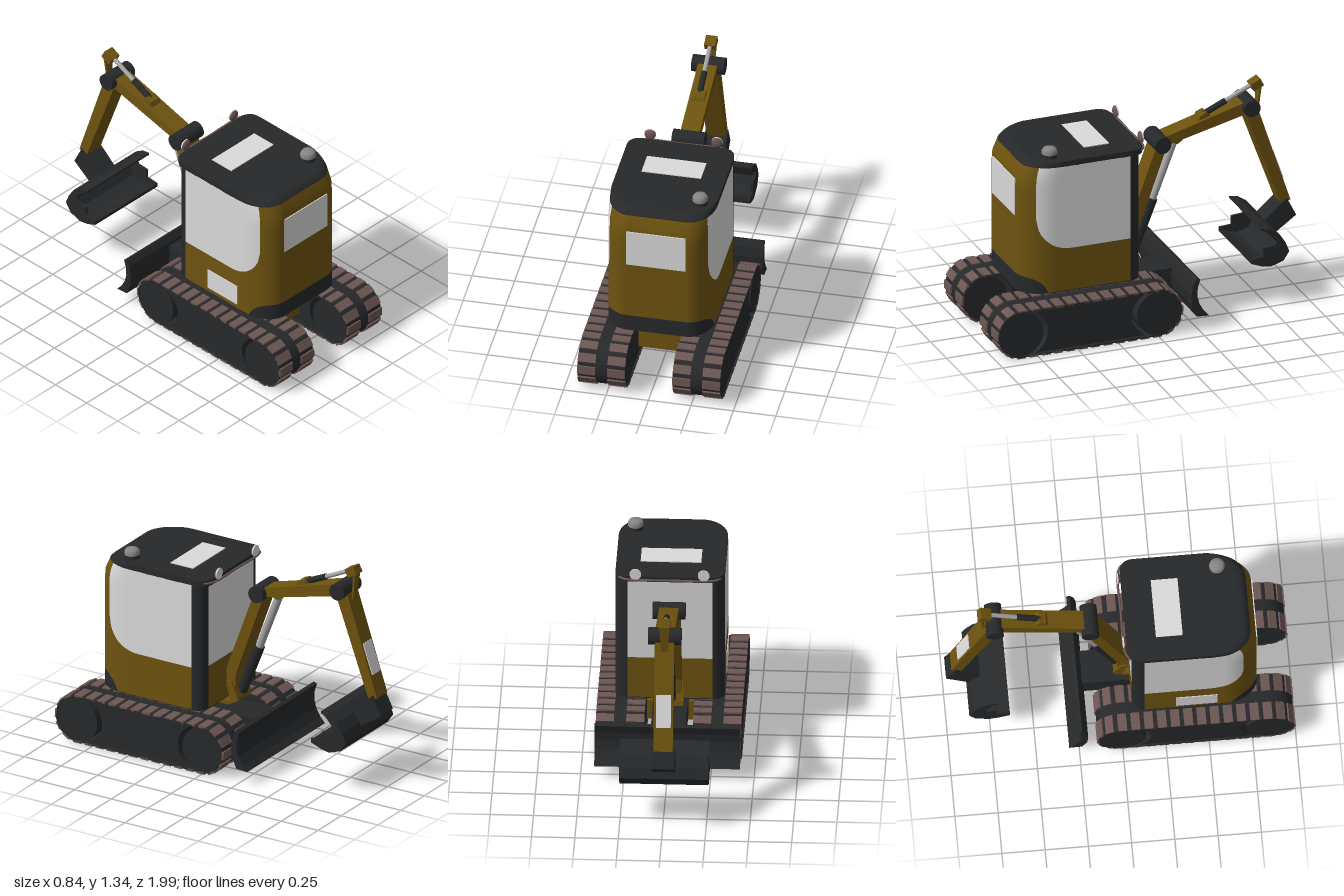
import * as THREE from 'three';

const mat = (name, color, side = THREE.FrontSide) => {
  const m = new THREE.MeshStandardMaterial({ color, side });
  m.name = name;
  return m;
};

export function createModel() {
  const yellow = mat('ochre yellow', 0x6e530f);
  const black = mat('charcoal', 0x26282a);
  const pale = mat('pale grey', 0xdadada);
  const brown = mat('brown rubber', 0x6c5652);
  const steel = mat('steel grey', 0xa6a6a6);
  const beaconGrey = mat('beacon grey', 0x858585);

  const model = new THREE.Group();
  model.name = 'miniExcavator';
  const add = (name, geo, m, parent = model) => {
    const mesh = new THREE.Mesh(geo, m);
    mesh.name = name;
    parent.add(mesh);
    return mesh;
  };
  const box = (name, m, w, h, d, x, y, z, parent) =>
    add(name, new THREE.BoxGeometry(w, h, d).translate(x, y, z), m, parent);

  // Side profile of [z, y] points, extruded to width w about x
  const toShape = (pts) => new THREE.Shape(pts.map(([a, b]) => new THREE.Vector2(a, b)));
  const side = (name, m, pts, w, x = 0, parent = model, hole = null) => {
    const shape = toShape(pts);
    if (hole) shape.holes.push(toShape(hole));
    const geo = new THREE.ExtrudeGeometry(shape, { depth: w, bevelEnabled: false });
    return add(name, geo.rotateY(-Math.PI / 2).translate(x + w / 2, 0, 0), m, parent);
  };
  // Straight beam between two [z, y] points
  const beam = (name, m, a, b, h0, h1, w, x = 0) => {
    const l = Math.hypot(b[0] - a[0], b[1] - a[1]);
    const n = [-(b[1] - a[1]) / l / 2, (b[0] - a[0]) / l / 2];
    const at = (p, h) => [p[0] + n[0] * h, p[1] + n[1] * h];
    return side(name, m, [at(a, h0), at(a, -h0), at(b, -h1), at(b, h1)], w, x);
  };
  // Round rod between two [z, y] points
  const rod = (name, m, a, b, r, x = 0) => {
    const va = new THREE.Vector3(x, a[1], a[0]), vb = new THREE.Vector3(x, b[1], b[0]);
    const mesh = add(name, new THREE.CylinderGeometry(r, r, va.distanceTo(vb), 20), m);
    mesh.position.copy(va).lerp(vb, 0.5);
    mesh.quaternion.setFromUnitVectors(new THREE.Vector3(0, 1, 0), vb.sub(va).normalize());
  };
  const pin = (name, m, z, y, r, w, x = 0, parent = model) =>
    add(name, new THREE.CylinderGeometry(r, r, w, 36).rotateZ(Math.PI / 2).translate(x, y, z), m, parent);

  // ---- Tracks
  const Z0 = 0, Z1 = 0.85, CY = 0.15;
  const stadium = (r) => {
    const pts = [];
    for (let i = 0; i <= 18; i++) {
      const a = -Math.PI / 2 + (Math.PI * i) / 18;
      pts.push([Z1 + r * Math.cos(a), CY + r * Math.sin(a)]);
    }
    return pts.concat(pts.map(([z, y]) => [Z0 + Z1 - z, 2 * CY - y]));
  };
  const frame = [];
  for (let i = 0; i <= 12; i++) {
    const a = -1.16 + (2.32 * i) / 12;
    frame.push([Z0 + 0.027 + 0.14 * Math.cos(a), CY + 0.14 * Math.sin(a)]);
  }
  frame.push(...frame.map(([z, y]) => [Z0 + Z1 - z, 2 * CY - y]));

  const R = 0.143, straight = Z1 - Z0, loop = 2 * straight + 2 * Math.PI * R, PADS = 34;
  for (const s of [1, -1]) {
    const track = new THREE.Group();
    track.name = s > 0 ? 'leftTrack' : 'rightTrack';
    model.add(track);
    side('trackBelt', black, stadium(0.143), 0.28, s * 0.28, track, stadium(0.134));
    side('trackFrame', black, frame, 0.264, s * 0.28, track);
    for (const z of [Z0, Z1]) pin('trackWheel', black, z, CY, 0.135, 0.272, s * 0.28, track);
    for (let i = 0; i < PADS; i++) {
      let d = (i / PADS) * loop, z, y, a;
      if (d < straight) { z = Z0 + d; y = CY + R; a = 0; }
      else if (d < straight + Math.PI * R) {
        a = (d - straight) / R;
        z = Z1 + R * Math.sin(a); y = CY + R * Math.cos(a);
      } else if (d < 2 * straight + Math.PI * R) {
        z = Z1 - (d - straight - Math.PI * R); y = CY - R; a = Math.PI;
      } else {
        a = Math.PI + (d - 2 * straight - Math.PI * R) / R;
        z = Z0 + R * Math.sin(a); y = CY + R * Math.cos(a);
      }
      for (const x of [0.1925, 0.3675]) {
        const pad = box('trackPad', brown, 0.105, 0.014, 0.052, 0, 0, 0, track);
        pad.position.set(s * x, y, z);
        pad.rotation.x = a;
      }
    }
  }

  // ---- Undercarriage, turntable and dozer blade
  box('undercarriage', yellow, 0.28, 0.12, 0.36, 0, 0.15, 0.43);
  add('turntable', new THREE.CylinderGeometry(0.14, 0.14, 0.13, 40).translate(0, 0.272, 0.43), yellow);
  box('bladeArm', black, 0.2, 0.13, 0.5, 0, 0.205, 0.03);
  side('dozerBlade', black, [[-0.235, 0.33], [-0.212, 0.29], [-0.2, 0.23], [-0.205, 0.16], [-0.235, 0.09],
    [-0.31, 0.085], [-0.278, 0.12], [-0.25, 0.17], [-0.237, 0.22], [-0.24, 0.27], [-0.255, 0.32]], 0.84);

  // ---- Cab: half footprint as [x, z] segments
  const seq = (n, f) => Array.from({ length: n + 1 }, (_, i) => f(i / n));
  const T = Math.asin(0.115 / 0.2);
  const rearArc = (t) => [0.175 + 0.14 * Math.cos(t), 0.595 + 0.2 * Math.sin(t)];
  const seg = {
    front: seq(4, (t) => [0.245 * t, 0.065]),
    pillar: seq(8, (t) => [0.245 + 0.07 * Math.sin(t * Math.PI / 2), 0.135 - 0.07 * Math.cos(t * Math.PI / 2)]),
    side: [...seq(14, (t) => [0.315, 0.135 + 0.46 * t]), ...seq(8, (t) => rearArc(T * t)).slice(1)],
    rear: [...seq(12, (t) => rearArc(T + (Math.PI / 2 - T) * t)), [0.08, 0.795], [0, 0.795]],
  };
  const half = [...seg.front, ...seg.pillar.slice(1), ...seg.side.slice(1), ...seg.rear.slice(1)];
  const clamp = THREE.MathUtils.clamp;
  // The rear wall rounds over into the roof; the roof overhangs at the front
  const cabPoint = ([x, z], y, s, hang = 0) => {
    const u = clamp((y - 1) / 0.15, 0, 1), w = clamp((z - 0.55) / 0.245, 0, 1);
    const inset = (1 - Math.sqrt(1 - u * u)) * w;
    return [s * x * (1 - 0.12 * inset), y, z - 0.09 * inset - hang * clamp((0.3 - z) / 0.2, 0, 1)];
  };
  const cab = new THREE.Group();
  cab.name = 'cab';
  model.add(cab);
  const band = (name, m, pts, lo, hi, hang = 0, rows = 10) => {
    for (const s of [1, -1]) {
      const pos = [], idx = [], n = pts.length;
      for (let r = 0; r <= rows; r++)
        for (const p of pts) pos.push(...cabPoint(p, THREE.MathUtils.lerp(lo(p), hi(p), r / rows), s, hang));
      for (let r = 0; r < rows; r++)
        for (let i = 0; i < n - 1; i++) {
          const a = r * n + i, b = a + 1, c = a + n, d = c + 1;
          idx.push(...(s > 0 ? [a, c, b, b, c, d] : [a, b, c, b, d, c]));
        }
      const geo = new THREE.BufferGeometry();
      geo.setAttribute('position', new THREE.Float32BufferAttribute(pos, 3));
      geo.setIndex(idx);
      geo.computeVertexNormals();
      add(name, geo, m, cab);
    }
  };
  const flat = (y) => () => y;
  const BASE = 0.337, SILL = 0.6, EAVE = 1.117, TOP = 1.15;
  const skirtTop = ([, z]) => BASE + 0.098 * Math.sqrt(Math.max(0, 1 - ((0.795 - z) / 0.145) ** 2));
  const sill = ([, z]) => SILL + 0.2 * (1 - Math.sqrt(1 - clamp((z - 0.5) / 0.21, 0, 1) ** 2));
  band('frontPanel', yellow, seg.front, flat(BASE), flat(SILL));
  band('windscreen', pale, seg.front, flat(SILL), flat(EAVE));
  band('cornerPillar', black, seg.pillar, flat(BASE), flat(EAVE));
  band('sidePanel', yellow, seg.side, skirtTop, sill);
  band('sideWindow', pale, seg.side, sill, flat(EAVE));
  band('rearPanel', yellow, seg.rear, skirtTop, flat(EAVE));
  band('rearSkirt', black, [...seg.side, ...seg.rear.slice(1)].filter((p) => p[1] > 0.6), flat(BASE), skirtTop);
  band('roofEdge', black, half, flat(EAVE), flat(TOP), 0.025, 8);

  const capShape = (y, hang) => {
    const ring = (s) => half.map((p) => cabPoint(p, y, s, hang)).map(([x, , z]) => [x, -z]);
    return toShape([...ring(1), ...ring(-1).reverse().slice(1, -1)]);
  };
  const slab = (name, y, hang, h, bottom) => add(name,
    new THREE.ExtrudeGeometry(capShape(y, hang), { depth: h, bevelEnabled: false })
      .rotateX(-Math.PI / 2).translate(0, bottom, 0), black, cab);
  slab('roofTop', TOP, 0.025, 0.004, TOP - 0.004);
  slab('roofUnderside', EAVE, 0.024, 0.004, EAVE - 0.002);
  slab('cabFloor', BASE, 0, 0.006, BASE - 0.004);

  // Pale plates on roof, rear and right side
  box('roofPlate', pale, 0.35, 0.006, 0.155, 0, TOP + 0.002, 0.29, cab);
  box('rearPlate', pale, 0.35, 0.23, 0.006, 0, 0.91, 0.796, cab);
  box('sidePlate', pale, 0.006, 0.13, 0.24, -0.316, 0.43, 0.435, cab);

  // Beacon
  add('beaconBase', new THREE.CylinderGeometry(0.042, 0.045, 0.025, 28).translate(0.22, 1.162, 0.6), black);
  add('beaconDome', new THREE.LatheGeometry([[0.045, 0], [0.045, 0.02], [0.036, 0.034], [0.018, 0.039], [0, 0.04]]
    .map(([r, y]) => new THREE.Vector2(r, y)), 28).translate(0.22, 1.172, 0.6), beaconGrey);

  // Lamp rail and lamps above the windscreen
  const rail = [[0.3, 0.12], [0.29, 0.06], [0.25, 0.03], [0, 0.025], [-0.25, 0.03], [-0.29, 0.06], [-0.3, 0.12]];
  add('lampRail', new THREE.TubeGeometry(new THREE.CatmullRomCurve3(
    rail.map(([x, z]) => new THREE.Vector3(x, 1.135, z))), 48, 0.007, 8), brown);
  for (const s of [1, -1]) {
    rod('lampStem', brown, [0.027, 1.13], [0.03, 1.17], 0.008, s * 0.197);
    add('lampBody', new THREE.SphereGeometry(0.034, 24, 12, 0, Math.PI).scale(1, 1, 0.5)
      .translate(s * 0.197, 1.173, 0.025), brown);
    add('lampLens', new THREE.CylinderGeometry(0.034, 0.034, 0.008, 24).rotateX(Math.PI / 2)
      .translate(s * 0.197, 1.173, 0.022), pale);
  }

  // ---- Boom, stick and hydraulics
  const X = -0.006;
  side('boomFoot', yellow, [[0.3, 0.3], [0.04, 0.3], [-0.025, 0.335], [-0.02, 0.36], [0.02, 0.45],
    [0.055, 0.45], [0.035, 0.35], [0.02, 0.327], [0.3, 0.327]], 0.15, X);
  side('lowerBoom', yellow, [[0.06, 0.4], [0, 0.4], [-0.005, 0.5], [-0.195, 1.03], [-0.135, 1.05], [0.06, 0.52]], 0.13, X);
  pin('boomJoint', black, -0.158, 1.04, 0.05, 0.19, X);
  beam('upperBoom', yellow, [-0.158, 1.04], [-0.71, 1.184], 0.055, 0.075, 0.112, X);
  pin('stickJoint', black, -0.71, 1.184, 0.05, 0.192, X);
  beam('stick', yellow, [-0.71, 1.184], [-0.932, 0.55], 0.08, 0.06, 0.112, X);
  beam('stickPlate', pale, [-0.857, 0.877], [-0.921, 0.695], 0.006, 0.006, 0.086, X);
  rod('boomSleeve', black, [-0.005, 0.375], [-0.126, 0.68], 0.032, X);
  rod('boomRod', steel, [-0.126, 0.68], [-0.262, 1.03], 0.024, X);
  side('boomRodMount', yellow, [[-0.22, 1.03], [-0.27, 1.01], [-0.3, 1.03], [-0.32, 1.07], [-0.22, 1.05]], 0.07, X);
  side('stickCylinderMount', yellow, [[-0.39, 1.11], [-0.41, 1.165], [-0.45, 1.18], [-0.49, 1.14]], 0.075, X);
  rod('stickSleeve', black, [-0.435, 1.155], [-0.58, 1.22], 0.018, X);
  rod('stickRod', steel, [-0.58, 1.22], [-0.75, 1.3], 0.013, X);
  beam('leverHead', yellow, [-0.735, 1.285], [-0.795, 1.315], 0.05, 0.05, 0.066, X);
  // Thin lever plate, tapering downwards
  const lever = add('lever', new THREE.BoxGeometry(0.064, 0.27, 0.012), yellow);
  const lp = lever.geometry.attributes.position;
  for (let i = 0; i < lp.count; i++) if (lp.getY(i) < 0) lp.setX(i, lp.getX(i) * 0.4);
  lever.position.set(X, 1.175, -0.775);
  lever.rotation.x = -0.1;

  // ---- Bucket
  side('bucketBracket', black, [[-0.935, 0.575], [-0.992, 0.462], [-0.84, 0.355], [-0.785, 0.45]], 0.132, X);
  const outer = [[-0.703, 0.495], [-0.755, 0.486], [-0.81, 0.45], [-0.85, 0.39], [-0.874, 0.33],
    [-0.837, 0.275], [-0.757, 0.25], [-0.7, 0.262], [-0.639, 0.286]];
  const inner = outer.map(([z, y], i) => (i === 0 || i === 8 ? [z, y + (i ? 0.02 : -0.012)]
    : [z + (-0.72 - z) * 0.14 + 0.004, y + (0.37 - y) * 0.14]));
  side('bucketShell', black, [...outer, ...inner.reverse()], 0.51, X);
  for (const s of [1, -1])
    side('bucketSide', black, [...outer, [-0.639, 0.313], [-0.714, 0.318], [-0.714, 0.372], [-0.783, 0.377],
      [-0.799, 0.398], [-0.746, 0.457]], 0.014, X + s * 0.25);

  return model;
}
